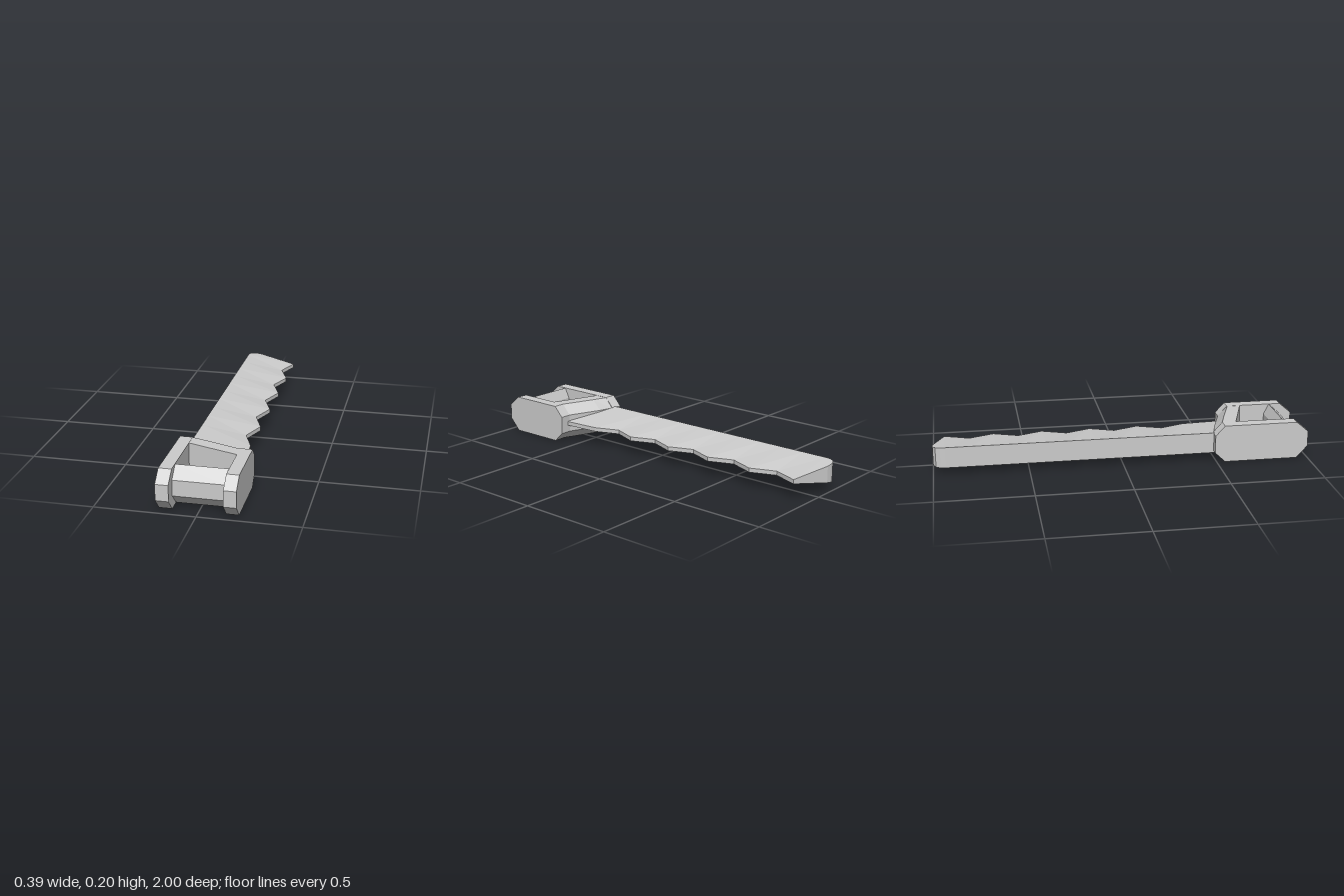
import * as THREE from 'three';

const material = new THREE.MeshStandardMaterial({ color: 0xcccccc, flatShading: true });

// Solid through a row of matching closed rings of [x, y, z], with both ends capped.
function loft(name, rings) {
  const n = rings[0].length;
  const index = [];
  for (let i = 0; i < rings.length - 1; i++) {
    for (let j = 0; j < n; j++) {
      const a = i * n + j, b = i * n + (j + 1) % n;
      index.push(a, b, b + n, a, b + n, a + n);
    }
  }
  const last = (rings.length - 1) * n;
  for (let j = 1; j < n - 1; j++) {
    index.push(0, j + 1, j, last, last + j, last + j + 1);
  }
  const indexed = new THREE.BufferGeometry();
  indexed.setAttribute('position', new THREE.Float32BufferAttribute(rings.flat(2), 3));
  indexed.setIndex(index);
  const geometry = indexed.toNonIndexed();
  geometry.computeVertexNormals();
  const mesh = new THREE.Mesh(geometry, material);
  mesh.name = name;
  return mesh;
}

// Ring in the plane at x from [z, y] points running back, top, front, bottom.
const ringAt = (x, points) => points.map(([z, y]) => [x, y, z]);

// Chamfered outline of a side cheek whose back end is at z = back.
const cheekOutline = (back) => [
  [back, 0.055], [back, 0.15], [back + 0.05, 0.205], [0.935, 0.205],
  [1, 0.15], [1, 0.067], [0.94, 0.003], [back + 0.055, 0.003],
];

// Outline of the slanted bar, chamfered towards the blade only.
const barOutline = (back, top, front) => [
  [back, 0.055], [back, 0.15], [top, 0.204], [front, 0.204],
  [front + 0.005, 0.005], [top, 0.005],
];

// Wedge section of the blade: thick at the spine, thin at the toothed edge.
function bladeSection([spineX, spineZ], [edgeX, edgeZ]) {
  const t = (spineX + 0.155) / 0.285;
  const half = THREE.MathUtils.lerp(0.056, 0.011, t);
  const mid = THREE.MathUtils.lerp(0.099, 0.104, t);
  return [
    [spineX, mid - half, spineZ], [edgeX, 0.093, edgeZ],
    [edgeX, 0.115, edgeZ], [spineX, mid + half, spineZ],
  ];
}

function createBlade() {
  const sections = [bladeSection([-0.155, 0.55], [0.146, 0.6])];
  // Alternating tooth points and notches
  for (let i = 0; i <= 10; i++) {
    const z = 0.38 - i * 0.1315;
    sections.push(bladeSection([-0.155, z], [i % 2 ? 0.08 : 0.13, z]));
  }
  // Rounded corner at the end of the spine
  const corner = [[-0.153, -0.96], [-0.142, -0.984], [-0.122, -0.997], [-0.1, -1], [-0.075, -0.998]];
  for (const point of corner) sections.push(bladeSection(point, [0.13, -0.935]));
  return loft('blade', sections);
}

export function createModel() {
  const model = new THREE.Group();
  model.name = 'toothedBlade';
  model.add(createBlade());

  // Handle: two cheeks joined by a slanted bar and a grip bar
  const handle = new THREE.Group();
  handle.name = 'handle';
  const right = cheekOutline(0.49), left = cheekOutline(0.58);
  handle.add(loft('rightCheek', [ringAt(-0.195, right), ringAt(-0.13, right)]));
  handle.add(loft('leftCheek', [ringAt(0.13, left), ringAt(0.192, left)]));
  handle.add(loft('slantedBar', [
    ringAt(-0.13, barOutline(0.495, 0.54, 0.615)),
    ringAt(-0.05, barOutline(0.515, 0.567, 0.643)),
    ringAt(0.13, barOutline(0.58, 0.633, 0.705)),
  ]));
  const grip = [
    [0.845, 0.067], [0.845, 0.148], [0.873, 0.204],
    [0.935, 0.148], [0.935, 0.067], [0.873, 0.005],
  ];
  handle.add(loft('gripBar', [ringAt(-0.13, grip), ringAt(0.13, grip)]));
  model.add(handle);

  // Every solid must face outwards: flip any whose signed volume is negative
  model.traverse((part) => {
    if (!part.isMesh) return;
    const p = part.geometry.attributes.position;
    const [a, b, c] = [0, 1, 2].map(() => new THREE.Vector3());
    let volume = 0;
    for (let i = 0; i < p.count; i += 3) {
      [a, b, c].forEach((v, k) => v.fromBufferAttribute(p, i + k));
      volume += a.dot(b.cross(c));
    }
    if (volume >= 0) return;
    for (let i = 0; i < p.count; i += 3) {
      b.fromBufferAttribute(p, i + 1);
      c.fromBufferAttribute(p, i + 2);
      p.setXYZ(i + 1, c.x, c.y, c.z);
      p.setXYZ(i + 2, b.x, b.y, b.z);
    }
    part.geometry.computeVertexNormals();
  });
  return model;
}
